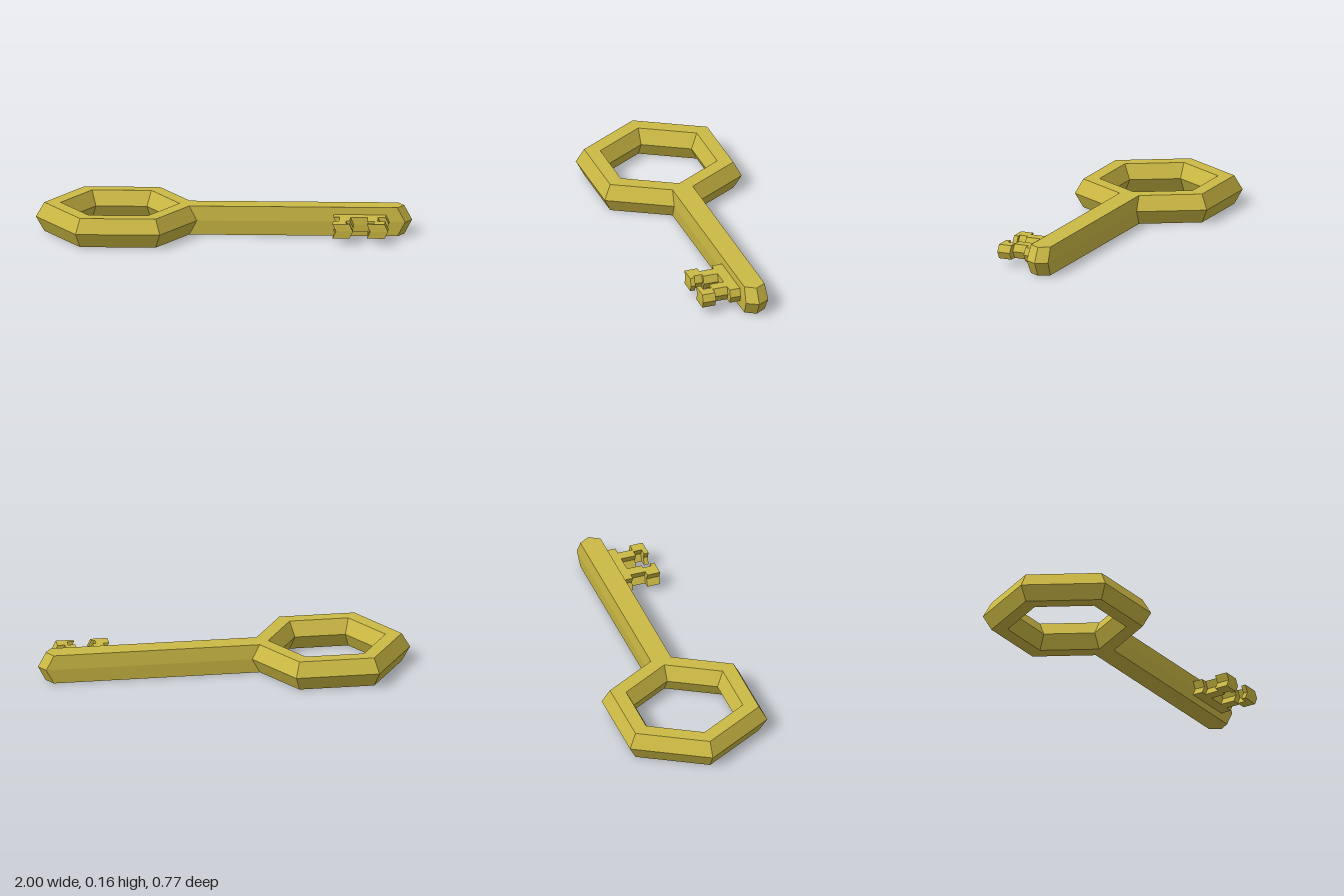
import * as THREE from 'three';

const HEIGHT = 0.156;
const MID = HEIGHT / 2;

// Flat slab from an [x, z] outline; the ring of vertices at mid height is moved by a rule.
function bulgedSlab(outline, height, moveMid) {
  const shape = new THREE.Shape(outline.map(([x, z]) => new THREE.Vector2(x, z)));
  const geo = new THREE.ExtrudeGeometry(shape, { depth: height, steps: 2, bevelEnabled: false });
  geo.rotateX(Math.PI / 2);
  geo.translate(0, MID + height / 2, 0);
  const pos = geo.attributes.position;
  for (let i = 0; i < pos.count; i++) {
    if (Math.abs(pos.getY(i) - MID) > 0.001) continue;
    const [x, z] = moveMid(pos.getX(i), pos.getZ(i));
    pos.setXYZ(i, x, MID, z);
  }
  geo.computeVertexNormals();
  return geo;
}

export function createModel() {
  const key = new THREE.Group();
  key.name = 'key';
  const brass = new THREE.MeshStandardMaterial({ color: 0xccb944, flatShading: true });
  const add = (name, geo) => {
    const mesh = new THREE.Mesh(geo, brass);
    mesh.name = name;
    key.add(mesh);
    return mesh;
  };

  // Six-sided bow with a hexagonal cross-section
  const section = [
    [0.315, 0], [0.402, 0], [0.447, MID], [0.402, HEIGHT], [0.315, HEIGHT], [0.271, MID], [0.315, 0],
  ].map(([r, y]) => new THREE.Vector2(r, y));
  const bow = add('bow', new THREE.LatheGeometry(section, 6, Math.PI / 6));
  bow.position.x = -0.553;

  // Shaft with a pointed, bevelled tip
  const half = 0.057;
  const shaftOutline = [[-0.2, -half], [0.922, -half], [0.957, 0], [0.922, half], [-0.2, half]];
  add('shaft', bulgedSlab(shaftOutline, HEIGHT, (x, z) => [x > 0 ? x + 0.042 : x, z * 1.1]));

  // Bit: two hooked teeth on a bar, creased along the middle
  const bitOutline = [
    [0.585, 0.05], [0.862, 0.05], [0.862, 0.118], [0.822, 0.118], [0.822, 0.2], [0.862, 0.2],
    [0.862, 0.272], [0.767, 0.272], [0.767, 0.247], [0.805, 0.247], [0.805, 0.2], [0.767, 0.2],
    [0.767, 0.118], [0.675, 0.118], [0.675, 0.2], [0.655, 0.2], [0.655, 0.247], [0.675, 0.247],
    [0.675, 0.272], [0.585, 0.272], [0.585, 0.2], [0.617, 0.2], [0.617, 0.118], [0.585, 0.118],
  ];
  add('bit', bulgedSlab(bitOutline, 0.077, (x, z) => [x + 0.018, z + 0.002]));

  return key;
}
